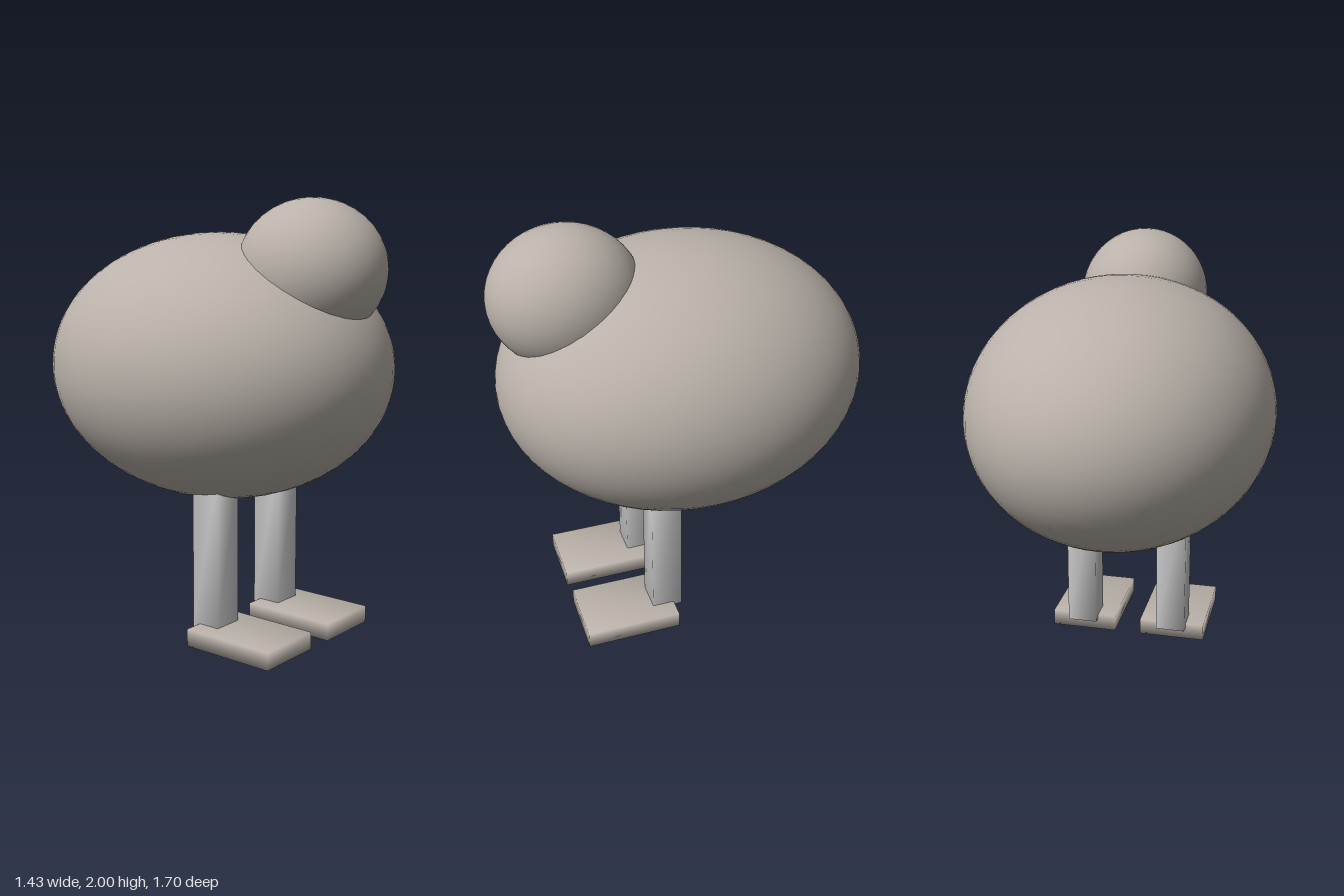
import * as THREE from 'three';
import { mergeVertices } from 'three/addons/utils/BufferGeometryUtils.js';

const plumage = new THREE.MeshStandardMaterial({ color: 0xbab2aa });
const grey = new THREE.MeshStandardMaterial({ color: 0xcccccc });

// Ellipsoid with its poles along z
function ellipsoid(name, rx, ry, rz, y, z, segments) {
  const geometry = new THREE.SphereGeometry(1, segments, segments / 2);
  geometry.rotateX(Math.PI / 2).scale(rx, ry, rz);
  const mesh = new THREE.Mesh(geometry, plumage);
  mesh.name = name;
  mesh.position.set(0, y, z);
  return mesh;
}

// Box whose corners share normals, for soft shading
function softBox(name, size, position, material) {
  const box = new THREE.BoxGeometry(...size);
  box.deleteAttribute('normal');
  box.deleteAttribute('uv');
  const geometry = mergeVertices(box);
  geometry.computeVertexNormals();
  const mesh = new THREE.Mesh(geometry, material);
  mesh.name = name;
  mesh.position.set(...position);
  return mesh;
}

export function createModel() {
  const model = new THREE.Group();
  model.name = 'roundBird';

  // Egg-shaped body and round head sunk into it
  model.add(ellipsoid('body', 0.715, 0.617, 0.847, 1.237, -0.004, 64));
  model.add(ellipsoid('head', 0.305, 0.31, 0.34, 1.69, 0.513, 48));

  // Straight legs, each on a flat foot reaching forward
  for (const [side, sign] of [['left', 1], ['right', -1]]) {
    const limb = new THREE.Group();
    limb.name = side + 'Limb';
    limb.add(softBox(side + 'Leg', [0.145, 0.74, 0.145], [sign * 0.228, 0.43, 0.16], grey));
    limb.add(softBox(side + 'Foot', [0.325, 0.08, 0.455], [sign * 0.228, 0.04, 0.355], plumage));
    model.add(limb);
  }
  return model;
}
